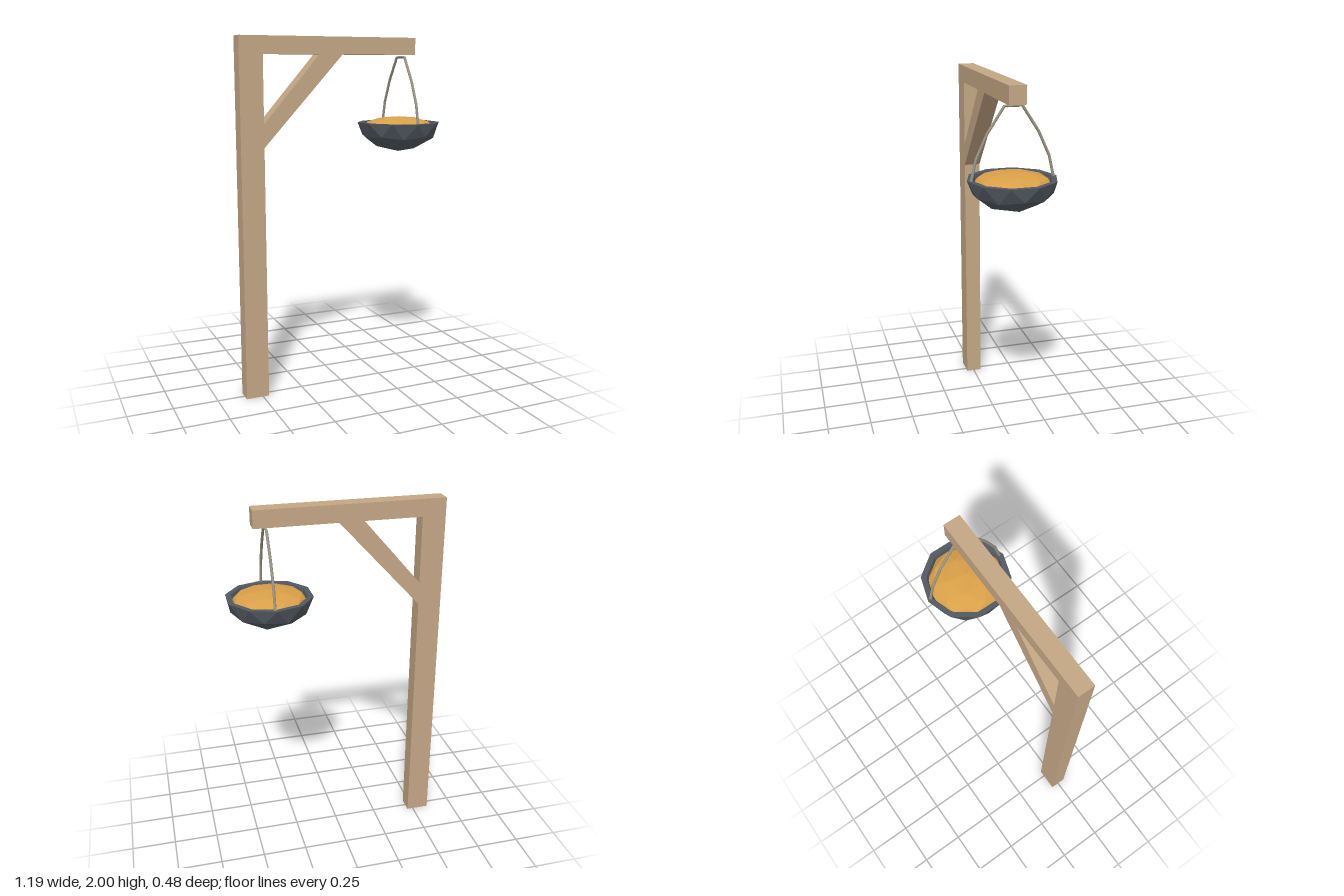
import * as THREE from 'three';

function material(name, color, double) {
  const m = new THREE.MeshStandardMaterial({ color, flatShading: true });
  if (double) m.side = THREE.DoubleSide;
  m.name = name;
  return m;
}

function mesh(name, geometry, mat) {
  const m = new THREE.Mesh(geometry, mat);
  m.name = name;
  return m;
}

// Faceted half icosphere with its pole on y: radius r, pole height h (negative hangs down)
function halfIcosphere(r, h, reverse = false) {
  const pts = [];
  const at = (sin, cos, deg) => {
    const a = THREE.MathUtils.degToRad(deg);
    return [r * sin * Math.cos(a), h * cos, r * sin * Math.sin(a)];
  };
  const tri = (a, b, c) => pts.push(...a, ...(reverse ? [...c, ...b] : [...b, ...c]));
  const pole = [0, h, 0];
  const A = (k) => at(0.526, 0.851, 72 * k);
  const B = (j) => (j % 2 ? at(0.851, 0.526, 36 * j) : at(0.894, 0.447, 36 * j));
  const E = (j) => at(1, 0, 18 + 36 * j);
  for (let k = 0; k < 5; k++) {
    tri(pole, A(k + 1), A(k));
    tri(A(k), A(k + 1), B(2 * k + 1));
    tri(A(k), B(2 * k + 1), B(2 * k));
    tri(A(k), B(2 * k), B(2 * k + 9));
  }
  for (let j = 0; j < 10; j++) {
    tri(B(j), B(j + 1), E(j));
    tri(B(j), E(j), E(j + 9));
  }
  const g = new THREE.BufferGeometry();
  g.setAttribute('position', new THREE.Float32BufferAttribute(pts, 3));
  g.computeVertexNormals();
  return g;
}

export function createModel() {
  const wood = material('wood', 0xc4a785);
  const iron = material('dark iron', 0x535962);
  const wire = material('wire', 0x9a9482);
  const filling = material('amber filling', 0xdaa048);
  const model = new THREE.Group();
  model.name = 'hangingBowlPost';

  // Post, beam and diagonal brace cut from one plank
  const outline = new THREE.Shape([
    [-0.595, 0], [-0.465, 0], [-0.465, 1.41], [-0.008, 1.905],
    [0.442, 1.905], [0.442, 2], [-0.595, 2],
  ].map(([x, y]) => new THREE.Vector2(x, y)));
  outline.holes.push(new THREE.Path([
    [-0.465, 1.537], [-0.465, 1.905], [-0.145, 1.905],
  ].map(([x, y]) => new THREE.Vector2(x, y))));
  const frame = new THREE.ExtrudeGeometry(outline, { depth: 0.092, bevelEnabled: false });
  frame.translate(0, 0, -0.047);
  model.add(mesh('postAndBeam', frame, wood));

  // Bowl: outer shell, inner shell and flat rim
  const bowl = new THREE.Group();
  bowl.name = 'bowl';
  bowl.position.set(0.3645, 1.525, 0);
  bowl.add(mesh('bowlOutside', halfIcosphere(0.238, -0.168, true), iron));
  bowl.add(mesh('bowlInside', halfIcosphere(0.208, -0.14), iron));
  const rim = new THREE.RingGeometry(0.208, 0.238, 10, 1, Math.PI / 10);
  rim.rotateX(-Math.PI / 2);
  bowl.add(mesh('bowlRim', rim, iron));

  // Domed filling
  const dome = mesh('filling', halfIcosphere(0.203, 0.058), filling);
  dome.position.y = -0.025;
  bowl.add(dome);
  model.add(bowl);

  // Bent wire handle passing under the beam
  const side = [[0.22, 1.515], [0.192, 1.635], [0.134, 1.76], [0.046, 1.893]];
  const points = [...side, ...side.map(([z, y]) => [-z, y]).reverse()]
    .map(([z, y]) => new THREE.Vector3(0.373, y, z));
  const path = new THREE.CatmullRomCurve3(points, false, 'catmullrom', 0);
  model.add(mesh('handle', new THREE.TubeGeometry(path, 60, 0.0075, 8), wire));

  return model;
}
